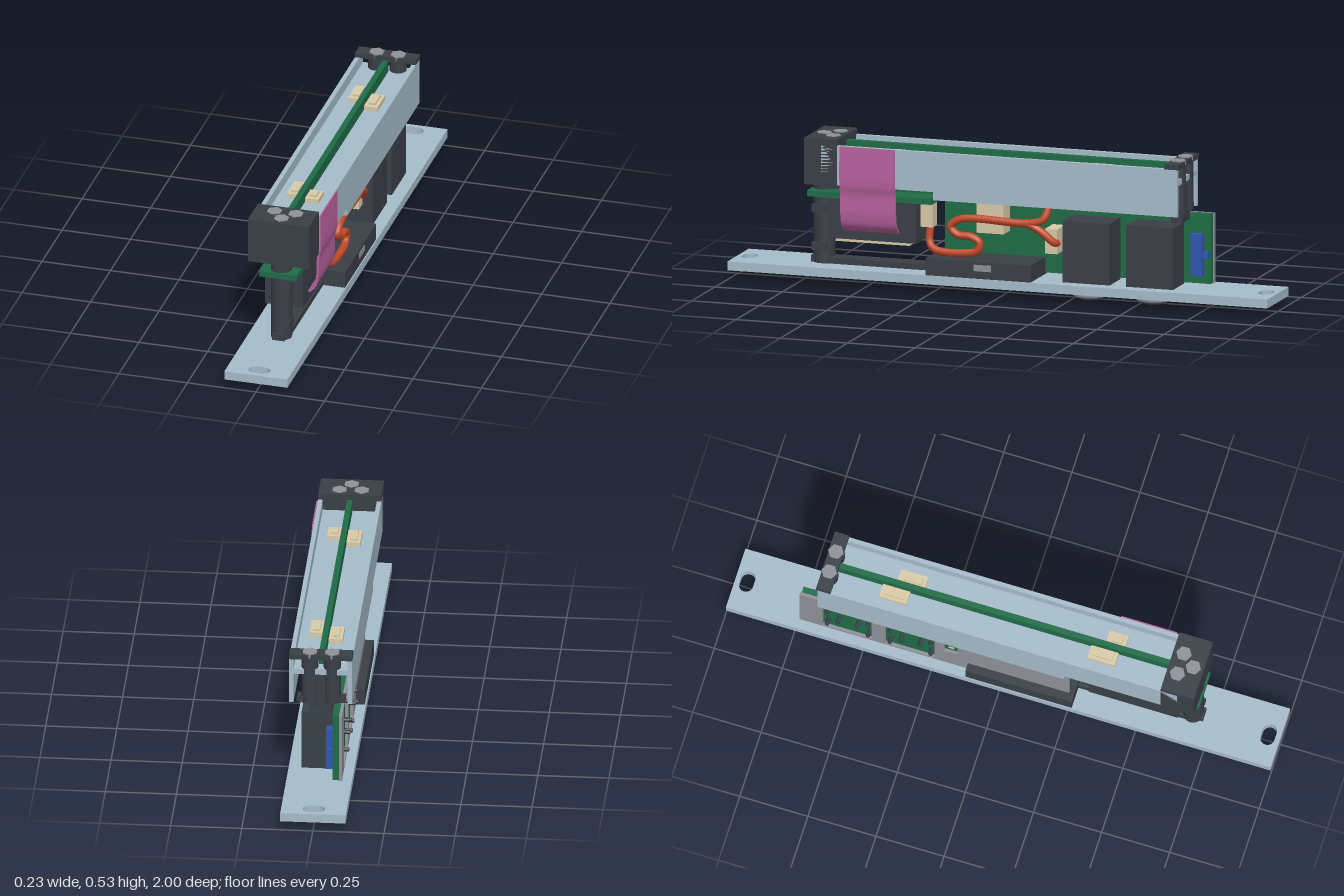
import * as THREE from 'three';

const colours = {
  paleBlueMetal: 0xa6bcca, darkPlastic: 0x3a3f47, boardGreen: 0x1f6b47, greyMetal: 0x8f9298,
  ribbonPink: 0xb8629f, wireOrange: 0xc04a2a, creamPart: 0xd9cbaa, connectorBlue: 0x2f56b4,
};

export function createModel() {
  const root = new THREE.Group();
  const M = {};
  for (const [name, color] of Object.entries(colours)) {
    M[name] = new THREE.MeshStandardMaterial({ color });
    M[name].name = name;
  }
  const blue = M.paleBlueMetal, dark = M.darkPlastic, green = M.boardGreen, grey = M.greyMetal;
  const cream = M.creamPart, orange = M.wireOrange;

  const add = (name, geo, mat) => {
    const m = new THREE.Mesh(geo, mat);
    m.name = name;
    root.add(m);
    return m;
  };
  // box given by its limits on each axis
  const box = (name, mat, x0, x1, y0, y1, z0, z1) => {
    const m = add(name, new THREE.BoxGeometry(x1 - x0, y1 - y0, z1 - z0), mat);
    m.position.set((x0 + x1) / 2, (y0 + y1) / 2, (z0 + z1) / 2);
    return m;
  };
  // upright cylinder given by its bottom and top
  const rod = (name, mat, x, z, r, y0, y1, sides = 24) => {
    const m = add(name, new THREE.CylinderGeometry(r, r, y1 - y0, sides), mat);
    m.position.set(x, (y0 + y1) / 2, z);
    return m;
  };
  const poly = (pts) => new THREE.Shape(pts.map(([a, b]) => new THREE.Vector2(a, b)));
  const hole = (u0, u1, v0, v1) => new THREE.Path([[u0, v0], [u0, v1], [u1, v1], [u1, v0]].map(([a, b]) => new THREE.Vector2(a, b)));
  // (z, y) outline given thickness from x1 towards -x
  const sidePlate = (name, mat, shape, x1, depth) => {
    const geo = new THREE.ExtrudeGeometry(shape, { depth, bevelEnabled: false, curveSegments: 10 });
    geo.rotateY(-Math.PI / 2);
    add(name, geo, mat).position.x = x1;
  };
  const wire = (name, pts, r = 0.014) => {
    const curve = new THREE.CatmullRomCurve3(pts.map((p) => new THREE.Vector3(...p)), false, 'centripetal');
    add(name, new THREE.TubeGeometry(curve, pts.length * 8, r, 10), orange);
    for (const p of [pts[0], pts[pts.length - 1]]) {
      add(name + 'End', new THREE.SphereGeometry(r, 10, 8), orange).position.set(...p);
    }
  };

  // base plate with a slot at each end
  const plate = poly([[-0.115, -1], [0.115, -1], [0.115, 1], [-0.115, 1]]);
  for (const z of [-0.957, 0.957]) {
    const slot = new THREE.Path();
    slot.absarc(0.014, z, 0.025, -Math.PI / 2, Math.PI / 2, false);
    slot.absarc(-0.014, z, 0.025, Math.PI / 2, Math.PI * 1.5, false);
    slot.closePath();
    plate.holes.push(slot);
  }
  const plateGeo = new THREE.ExtrudeGeometry(plate, { depth: 0.032, bevelEnabled: false, curveSegments: 10 });
  plateGeo.rotateX(Math.PI / 2);
  add('basePlate', plateGeo, blue).position.y = 0.065;

  // screws and socket rings under the plate
  for (const z of [0.685, 0.06]) {
    rod('undersideScrew', grey, 0, z, 0.029, 0.013, 0.034);
    rod('undersideScrewRecess', dark, 0, z, 0.014, 0.0115, 0.014, 6);
  }
  const ring = (r0, r1, y0, y1) => new THREE.LatheGeometry(
    [[r0, y0], [r1 - 0.006, y0], [r1, y0 + 0.005], [r1, y1], [r0, y1], [r0, y0]].map(([a, b]) => new THREE.Vector2(a, b)), 32);
  for (const z of [-0.305, -0.54]) {
    add('socketNut', ring(0.04, 0.063, 0.01, 0.034), grey).position.z = z;
    add('socketSleeve', ring(0.025, 0.045, 0, 0.034), dark).position.z = z;
    rod('socketFloor', dark, 0, z, 0.03, 0.022, 0.034);
    rod('socketPin', grey, 0, z, 0.01, 0.006, 0.024, 12);
  }

  // upper rail: two side walls joined by a web
  const wall = poly([[-0.665, 0.335], [0.24, 0.335], [0.24, 0.364], [0.655, 0.364], [0.655, 0.505], [-0.665, 0.505]]);
  sidePlate('railWallLeft', blue, wall, 0.111, 0.016);
  sidePlate('railWallRight', blue, wall, -0.095, 0.016);
  box('railWeb', blue, -0.096, 0.096, 0.445, 0.465, -0.665, 0.655);

  // circuit strip along the rail with small components
  box('railCircuitStrip', green, -0.01, 0.01, 0.335, 0.507, -0.62, 0.6);
  for (const [x0, x1, z0, z1] of [[-0.06, -0.011, -0.455, -0.355], [0.011, 0.06, -0.41, -0.31],
    [-0.06, -0.011, 0.31, 0.41], [0.011, 0.06, 0.355, 0.425]]) {
    box('railComponent', cream, x0, x1, 0.465, 0.482, z0, z1);
    box('railComponentStep', cream, x0 + 0.012, x1 - 0.012, 0.482, 0.49, z0 + 0.015, z1 - 0.015);
  }

  // front end block with hex screws
  box('frontBlock', dark, -0.111, 0.111, 0.36, 0.526, 0.595, 0.718);
  for (const [x, z] of [[-0.039, 0.634], [0.039, 0.634], [0, 0.68]]) {
    rod('frontBlockScrew', grey, x, z, 0.028, 0.515, 0.5285, 6);
  }
  box('frontBlockLip', dark, -0.088, 0.088, 0.345, 0.362, 0.6, 0.65);

  // rear clamp
  box('rearClampBar', dark, -0.111, 0.111, 0.504, 0.522, -0.67, -0.617);
  for (const x of [-0.039, 0.039]) {
    rod('rearClampScrew', grey, x, -0.644, 0.028, 0.51, 0.526, 6);
    rod('rearClampPost', dark, x, -0.642, 0.03, 0.335, 0.505, 16);
  }
  box('rearClampCore', dark, -0.04, 0.04, 0.3, 0.46, -0.66, -0.615);
  box('rearClampFoot', dark, -0.085, 0.085, 0.335, 0.352, -0.66, -0.617);

  // front post
  rod('frontPost', dark, 0, 0.68, 0.038, 0.065, 0.362, 16);
  box('frontPostFoot', dark, -0.022, 0.022, 0.065, 0.09, 0.69, 0.722);
  for (const y of [0.125, 0.26]) box('frontPostTab', dark, 0.02, 0.039, y - 0.014, y + 0.014, 0.66, 0.715);

  // front circuit board and the module hung below it
  box('frontBoard', green, -0.07, 0.068, 0.308, 0.329, 0.26, 0.722);
  box('frontModule', dark, -0.07, 0.069, 0.165, 0.308, 0.318, 0.645);
  box('frontModuleStrip', cream, -0.055, 0.055, 0.153, 0.166, 0.345, 0.62);
  box('frontConnector', dark, -0.092, -0.07, 0.293, 0.331, 0.3, 0.38);
  box('wireSocket', cream, 0.01, 0.055, 0.225, 0.309, 0.26, 0.305);

  // lower support bar and block
  box('supportBar', dark, -0.032, 0.032, 0.065, 0.086, 0.26, 0.66);
  box('supportBlock', dark, -0.111, 0.111, 0.065, 0.125, -0.122, 0.268);
  box('supportBlockScrew', grey, 0.1, 0.1125, 0.092, 0.115, 0.025, 0.09);

  // long upright circuit board and its shield plate with openings
  box('mainBoard', green, -0.07, -0.048, 0.07, 0.32, -0.735, 0.25);
  const shield = poly([[-0.74, 0.07], [0.25, 0.07], [0.25, 0.32], [-0.74, 0.32]]);
  shield.holes.push(hole(-0.655, -0.475, 0.08, 0.31), hole(-0.425, -0.245, 0.08, 0.31), hole(-0.21, -0.16, 0.18, 0.28));
  sidePlate('shieldPlate', grey, shield, -0.07, 0.011);
  for (const y of [0.2, 0.225, 0.25]) box('shieldPin', cream, -0.073, -0.07, y, y + 0.01, -0.195, -0.175);

  // small pins on the shield side
  for (const z0 of [-0.565, -0.335]) {
    for (const [dz, y] of [[-0.07, 0.257], [0.08, 0.257], [-0.07, 0.142], [0.08, 0.142], [0.04, 0.205], [-0.03, 0.19]]) {
      const pin = add('boardPin', new THREE.CylinderGeometry(0.0075, 0.0075, 0.03, 10), dark);
      pin.rotation.z = Math.PI / 2;
      pin.position.set(-0.083, y, z0 + dz);
    }
  }

  // parts on the inner face of the main board
  box('socketHousing', dark, -0.048, 0.069, 0.065, 0.285, -0.4, -0.225);
  box('socketHousing', dark, -0.048, 0.069, 0.065, 0.285, -0.635, -0.46);
  box('blueConnector', M.connectorBlue, -0.048, -0.022, 0.1, 0.25, -0.71, -0.668);
  box('blueConnectorNub', M.connectorBlue, -0.048, -0.028, 0.165, 0.185, -0.732, -0.71);
  box('boardComponent', cream, -0.048, 0.02, 0.21, 0.315, 0.01, 0.11);
  box('boardWireSocket', cream, -0.048, 0.04, 0.157, 0.245, -0.195, -0.15);

  // orange wiring
  wire('mainWire', [[0.033, 0.24, 0.275], [0.042, 0.17, 0.275], [0.055, 0.147, 0.25], [0.062, 0.144, 0.13],
    [0.062, 0.155, 0.092], [0.062, 0.185, 0.085], [0.062, 0.203, 0.115], [0.062, 0.208, 0.165], [0.062, 0.235, 0.192],
    [0.062, 0.264, 0.155], [0.062, 0.266, -0.1], [0.058, 0.282, -0.15], [0.045, 0.32, -0.165], [0.035, 0.36, -0.175]]);
  wire('branchWire', [[0.062, 0.266, -0.09], [0.06, 0.24, -0.14], [0.045, 0.2, -0.185], [0.03, 0.195, -0.19]]);
  for (let i = 0; i < 3; i++) {
    const x = 0.026 + i * 0.019;
    wire('railWire', [[x, 0.38, 0.02], [x, 0.355, -0.04], [x, 0.355, -0.48], [x, 0.385, -0.55], [x, 0.44, -0.57]], 0.008);
  }
  wire('shortWire', [[0.03, 0.35, 0.235], [0.035, 0.362, 0.255], [0.035, 0.375, 0.27], [0.02, 0.385, 0.25]], 0.01);
  box('shortWireSocket', cream, 0.011, 0.045, 0.375, 0.39, 0.23, 0.255);

  // pink ribbon cable swept along z
  const mid = new THREE.CatmullRomCurve3([[0.112, 0.505], [0.112, 0.37], [0.105, 0.335], [0.102, 0.26], [0.092, 0.222], [0.07, 0.2]]
    .map(([x, y]) => new THREE.Vector3(x, y, 0)), false, 'centripetal').getPoints(30);
  const edge = (d) => mid.map((p, i) => {
    const a = mid[Math.max(i - 1, 0)], b = mid[Math.min(i + 1, mid.length - 1)];
    const len = Math.hypot(b.x - a.x, b.y - a.y);
    return new THREE.Vector2(p.x - d * (b.y - a.y) / len, p.y + d * (b.x - a.x) / len);
  });
  const ribbon = new THREE.Shape([...edge(0.004), ...edge(-0.004).reverse()]);
  add('ribbonCable', new THREE.ExtrudeGeometry(ribbon, { depth: 0.205, bevelEnabled: false }), M.ribbonPink).position.z = 0.38;

  return root;
}
